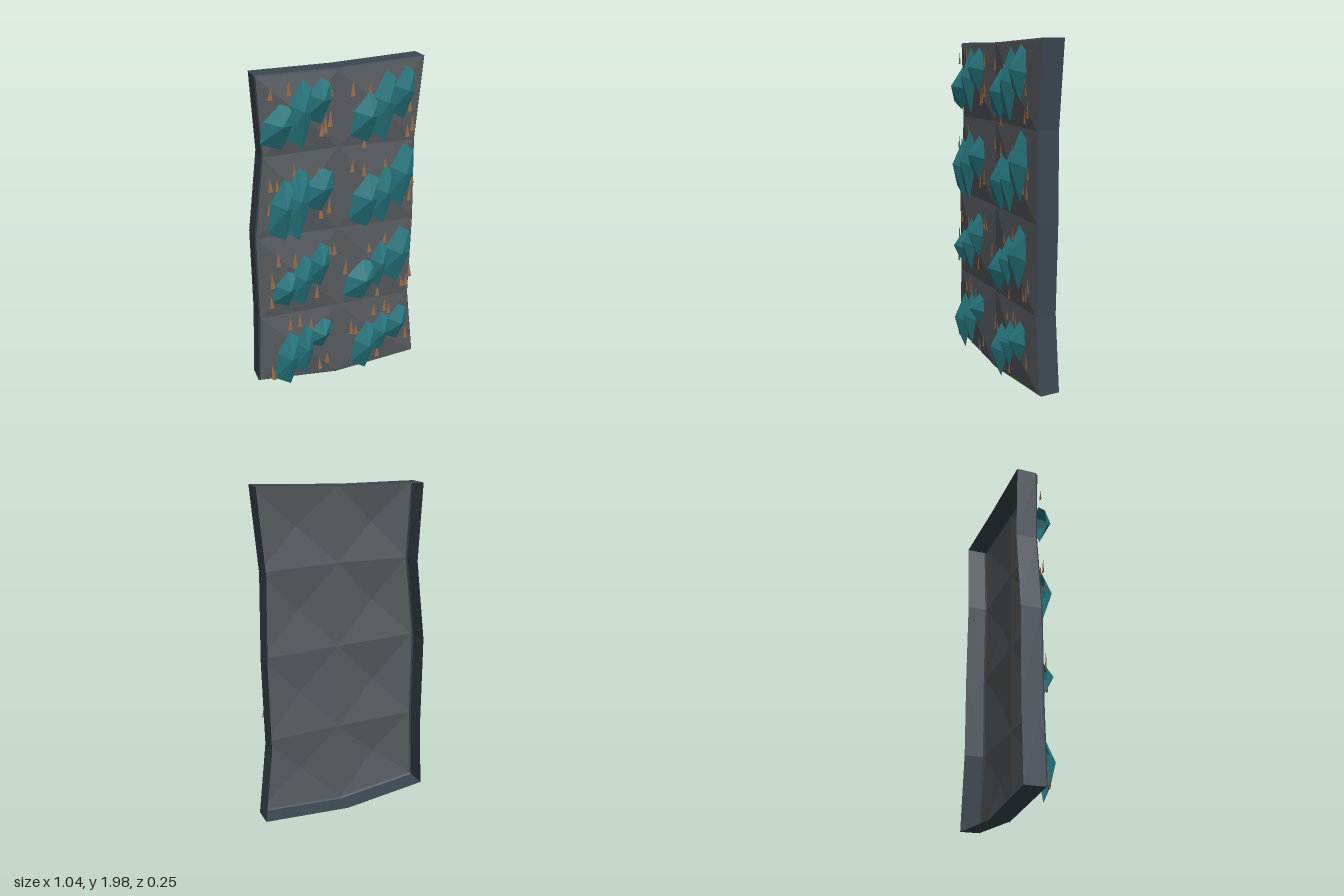
import * as THREE from 'three';

const material = (color) =>
  new THREE.MeshStandardMaterial({ color, flatShading: true, side: THREE.DoubleSide });

// Rows of the panel from bottom to top: left, middle and right point, each [x, y]
const ROWS = [
  [[-0.52, 0.07], [-0.01, 0.01], [0.52, 0.05]],
  [[-0.5, 0.51], [0, 0.51], [0.47, 0.5]],
  [[-0.5, 1.04], [0, 1.03], [0.48, 1.02]],
  [[-0.44, 1.52], [0, 1.53], [0.47, 1.52]],
  [[-0.46, 1.96], [0, 1.965], [0.51, 1.99]],
];

// Three crystals per cluster: centre x, centre y, width, height
const CRYSTALS = [
  [-0.36, 1.69, 0.2, 0.25], [-0.235, 1.745, 0.15, 0.38], [-0.13, 1.81, 0.15, 0.25],
  [0.14, 1.69, 0.18, 0.28], [0.245, 1.745, 0.16, 0.4], [0.36, 1.81, 0.14, 0.3],
  [-0.35, 1.21, 0.17, 0.37], [-0.265, 1.235, 0.17, 0.44], [-0.135, 1.305, 0.18, 0.26],
  [0.145, 1.2, 0.2, 0.33], [0.25, 1.22, 0.15, 0.35], [0.36, 1.325, 0.17, 0.39],
  [-0.345, 0.71, 0.16, 0.23], [-0.245, 0.75, 0.15, 0.33], [-0.14, 0.835, 0.14, 0.28],
  [0.12, 0.685, 0.22, 0.27], [0.235, 0.77, 0.13, 0.3], [0.35, 0.82, 0.19, 0.37],
  [-0.345, 0.225, 0.17, 0.37], [-0.24, 0.27, 0.13, 0.35], [-0.135, 0.365, 0.15, 0.2],
  [0.15, 0.21, 0.17, 0.34], [0.255, 0.285, 0.14, 0.28], [0.365, 0.335, 0.15, 0.25],
];

// Leaning six-sided crystal base, in a -1..1 square
const BASE = [[-1, -0.65], [0.15, -1], [1, 0], [0.9, 0.75], [0.2, 1], [-0.75, 0.3]];

// Centres of the small thorns, [x, y]
const THORNS = [
  [-0.39, 1.87], [-0.29, 1.89], [-0.06, 1.87], [-0.06, 1.71], [-0.09, 1.68], [-0.42, 1.65], [-0.11, 1.65],
  [0.07, 1.86], [0.17, 1.83], [0.4, 1.81], [0.41, 1.73], [0.4, 1.59], [0.14, 1.56], [0.43, 1.63],
  [-0.27, 1.43], [-0.13, 1.41], [-0.42, 1.23], [-0.41, 1.37], [-0.07, 1.2], [-0.12, 1.18], [-0.37, 1.36],
  [0.07, 1.42], [0.14, 1.39], [0.27, 1.4], [0.43, 1.21], [0.39, 1.21], [0.44, 1.3], [0.08, 1.23],
  [-0.38, 0.91], [-0.42, 0.78], [-0.07, 0.92], [-0.04, 0.92], [-0.43, 0.64], [-0.15, 0.66], [-0.28, 0.89],
  [0.18, 0.89], [0.28, 0.94], [0.43, 0.63], [0.45, 0.69], [0.03, 0.79], [0.24, 0.58], [0.4, 0.62],
  [-0.32, 0.47], [-0.26, 0.48], [-0.44, 0.15], [-0.43, 0.12], [-0.09, 0.17], [-0.14, 0.14], [-0.19, 0.44],
  [0.07, 0.36], [0.1, 0.33], [0.22, 0.45], [0.29, 0.47], [0.44, 0.24], [0.25, 0.15], [0.32, 0.44],
];

function meshFromTriangles(name, triangles, mat) {
  const geometry = new THREE.BufferGeometry();
  geometry.setAttribute('position', new THREE.Float32BufferAttribute(triangles.flat(2), 3));
  geometry.computeVertexNormals();
  const mesh = new THREE.Mesh(geometry, mat);
  mesh.name = name;
  return mesh;
}

// Pull a panel point slightly towards the panel centre for the bevelled edge
const inset = ([x, y]) => [x * 0.985, 1 + (y - 1) * 0.992];

// Triangles from a loop of points to one apex
const fan = (loop, apex) => loop.map((p, i) => [p, loop[(i + 1) % loop.length], apex]);

// Front sheet: eight shallow pyramids in two columns
function frontSheet() {
  const triangles = [];
  for (let r = 0; r < 4; r++) {
    for (let c = 0; c < 2; c++) {
      const corners = [ROWS[r][c], ROWS[r][c + 1], ROWS[r + 1][c + 1], ROWS[r + 1][c]]
        .map((p) => [...inset(p), 0]);
      const apex = [0, 1].map((k) => corners.reduce((sum, p) => sum + p[k], 0) / 4);
      triangles.push(...fan(corners, [...apex, c === 0 ? 0.035 : 0.027]));
    }
  }
  return meshFromTriangles('frontSheet', triangles, material(0x565a5e));
}

// Rim: bevel and side walls around the outline, open at the back
function rim() {
  const outline = [
    ...ROWS[0],
    ...ROWS.slice(1, 4).map((row) => row[2]),
    ...[...ROWS[4]].reverse(),
    ...ROWS.slice(1, 4).map((row) => row[0]).reverse(),
  ];
  const loops = [
    outline.map((p) => [...inset(p), 0]),
    outline.map((p) => [...p, -0.01]),
    outline.map((p) => [...p, -0.127]),
  ];
  const triangles = [];
  for (let k = 0; k < 2; k++) {
    outline.forEach((_, i) => {
      const j = (i + 1) % outline.length;
      const [a, b, c, d] = [loops[k][i], loops[k + 1][i], loops[k + 1][j], loops[k][j]];
      triangles.push([a, b, c], [a, c, d]);
    });
  }
  return meshFromTriangles('rim', triangles, material(0x3b4650));
}

export function createModel() {
  const model = new THREE.Group();
  model.name = 'crystalPanel';
  model.add(frontSheet(), rim());

  // Crystals: faceted points with an off-centre peak
  const crystals = new THREE.Group();
  crystals.name = 'crystals';
  const teal = material(0x26757d);
  CRYSTALS.forEach(([x, y, w, h], i) => {
    const loop = BASE.map(([u, v]) => [x + u * w / 2, y + v * h / 2, 0.05]);
    const peak = [x + 0.06 * w, y + 0.08 * h, [0.122, 0.112, 0.12][i % 3]];
    crystals.add(meshFromTriangles('crystal', fan(loop, peak), teal));
  });
  model.add(crystals);

  // Thorns: small flattened spikes of varied height and lean
  const thorns = new THREE.Group();
  thorns.name = 'thorns';
  const brown = material(0x9a6c48);
  const spike = new THREE.ConeGeometry(0.014, 0.085, 4);
  THORNS.forEach(([x, y], i) => {
    const thorn = new THREE.Mesh(spike, brown);
    thorn.name = 'thorn';
    thorn.position.set(x, y, 0.043);
    thorn.scale.set(1, 0.8 + 0.12 * (i % 5), 0.3);
    thorn.rotation.z = 0.06 * ((i % 3) - 1);
    thorns.add(thorn);
  });
  model.add(thorns);
  return model;
}
